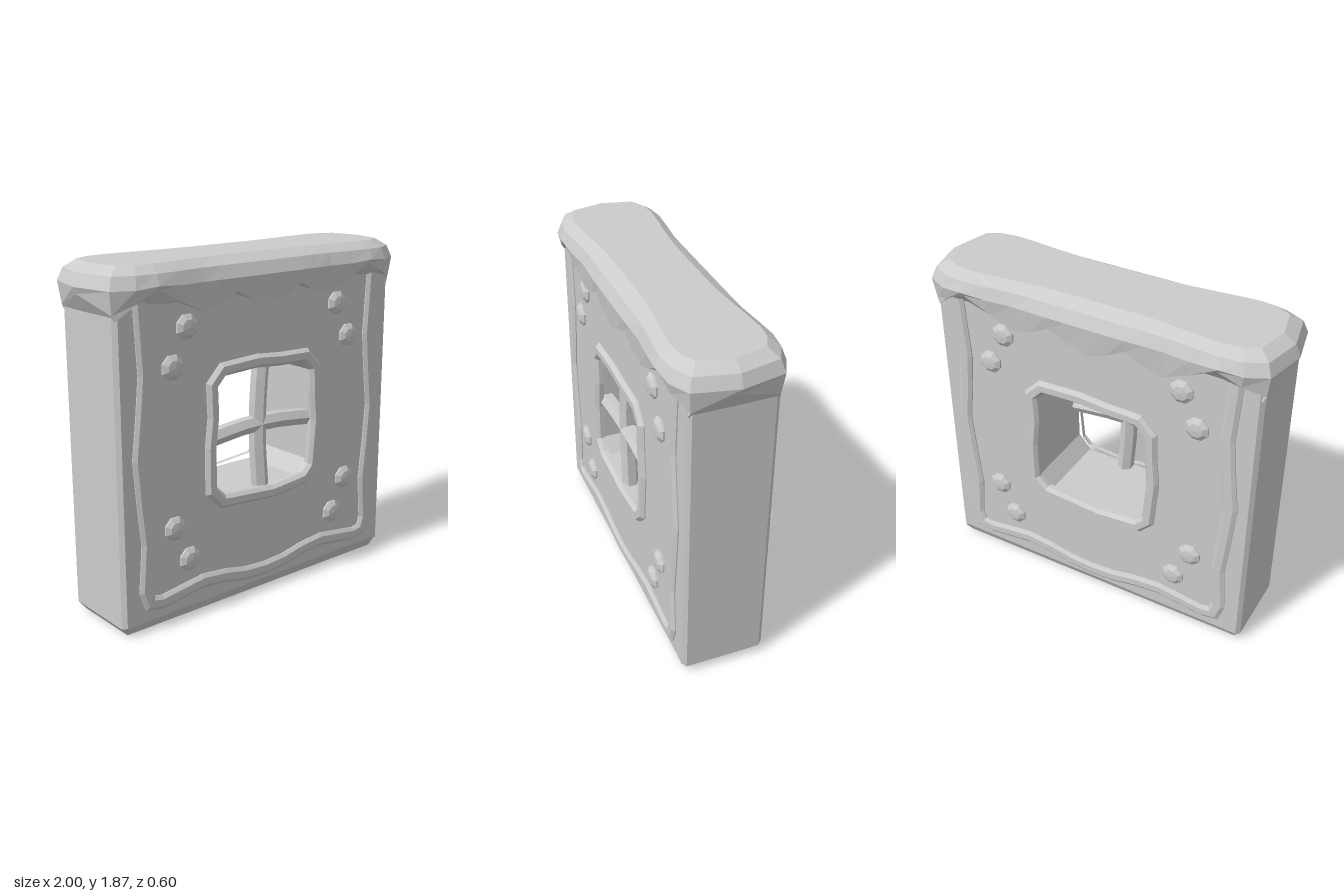
import * as THREE from 'three';

const mat = new THREE.MeshStandardMaterial({ color: 0xcccccc, flatShading: true });
const FACE = 0.23; // z of the wall's front face

function mesh(name, geometry) {
  const m = new THREE.Mesh(geometry, mat);
  m.name = name;
  return m;
}

function gridGeometry(rows, closed, cap) {
  // rows of points joined by quads; closed joins the ends of each row
  const n = rows[0].length, pos = rows.flat(2), idx = [];
  for (let r = 0; r < rows.length - 1; r++) {
    for (let i = 0; i < (closed ? n : n - 1); i++) {
      const j = (i + 1) % n;
      const a = r * n + i, b = r * n + j, c = b + n, d = a + n;
      idx.push(a, b, c, a, c, d);
    }
  }
  if (cap) {
    const last = (rows.length - 1) * n, centre = pos.length / 3;
    pos.push(...cap);
    for (let i = 0; i < n; i++) idx.push(centre, last + i, last + (i + 1) % n);
  }
  const g = new THREE.BufferGeometry();
  g.setAttribute('position', new THREE.Float32BufferAttribute(pos, 3));
  g.setIndex(idx);
  const flat = g.toNonIndexed();
  flat.computeVertexNormals();
  return flat;
}

// Raised moulding: a [sideways, z] profile swept along a flat path with mitred corners
function moulding(path, profile, closed) {
  const n = path.length;
  const at = i => path[closed ? (i + n) % n : Math.min(Math.max(i, 0), n - 1)];
  const normal = (a, b) => new THREE.Vector2(a.y - b.y, b.x - a.x).normalize();
  const miters = path.map((p, i) => {
    const n1 = normal(at(i - 1), p), n2 = normal(p, at(i + 1));
    if (!closed && i === 0) return n2;
    if (!closed && i === n - 1) return n1;
    const m = n1.clone().add(n2).normalize();
    return m.divideScalar(Math.max(m.dot(n1), 0.5));
  });
  const rows = profile.map(([o, z]) => path.map((p, i) => [p.x + miters[i].x * o, p.y + miters[i].y * o, z]));
  return gridGeometry(rows, closed);
}

const vecs = pts => pts.map(([x, y]) => new THREE.Vector2(x, y));

// Wall slab with a chamfered window opening
function wallGeometry() {
  const shape = new THREE.Shape(vecs([[-0.89, 0], [0.89, 0], [0.93, 0.05], [0.93, 1.75], [-0.93, 1.75], [-0.93, 0.05]]));
  shape.holes.push(new THREE.Path(vecs([
    [-0.34, 1.2], [-0.26, 1.285], [0.25, 1.28], [0.335, 1.2],
    [0.34, 0.68], [0.27, 0.595], [-0.27, 0.6], [-0.345, 0.68],
  ])));
  const g = new THREE.ExtrudeGeometry(shape, {
    depth: 0.414, bevelThickness: 0.023, bevelSize: 0.02, bevelOffset: -0.02, bevelSegments: 1,
  });
  g.translate(0, 0, -0.207);
  // Wider chamfer along the foot
  const p = g.attributes.position;
  for (let i = 0; i < p.count; i++) {
    if (p.getY(i) < 0.01) p.setZ(i, Math.sign(p.getZ(i)) * 0.195);
    else if (p.getY(i) < 0.04) p.setY(i, 0.065);
  }
  g.computeVertexNormals();
  return g;
}

// Thick cap with a scalloped lower edge, built from stacked rings
function capGeometry() {
  // quarter outline: x, z, scallop height, top x, top z
  const quarter = [
    [0, 0.28, 1.605, 0, 0.18], [0.11, 0.28, 1.64, 0.11, 0.18], [0.22, 0.28, 1.695, 0.22, 0.18],
    [0.32, 0.277, 1.645, 0.32, 0.185], [0.43, 0.275, 1.615, 0.43, 0.195], [0.57, 0.288, 1.68, 0.57, 0.21],
    [0.72, 0.3, 1.755, 0.70, 0.22], [0.84, 0.285, 1.70, 0.79, 0.21],
    [0.95, 0.23, 1.65, 0.87, 0.17], [1, 0, 1.73, 0.91, 0],
  ];
  const ring = f => {
    const q = quarter.map(f), e = q.length - 1;
    const back = q.slice(0, e).reverse();
    const flip = (list, sx, sz) => list.map(([x, y, z]) => [x * sx, y, z * sz]);
    return [...q, ...flip(back, 1, -1), ...flip(q.slice(1), -1, -1), ...flip(back.slice(0, -1), -1, 1)];
  };
  const mix = THREE.MathUtils.lerp;
  return gridGeometry([
    ring(([x, z, s]) => [Math.min(x, 0.92), x > 0.9 ? 1.62 : Math.min(s + 0.005, 1.68), Math.min(z, 0.225)]),
    ring(([x, z, s]) => [x * 0.985, s, z * 0.95]),
    ring(([x, z, s]) => [x, Math.max(1.765, s + 0.02), z]),
    ring(([x, z, s, tx, tz]) => [mix(x, tx, 0.3), 1.83, mix(z, tz, 0.3)]),
    ring(([x, z, s, tx, tz]) => [tx, 1.87, tz]),
  ], true, [0, 1.87, 0]);
}

// Border, window frame and studs carried by one face of the wall
function faceTrim(side) {
  const group = new THREE.Group();
  group.name = side + 'Trim';

  const half = [
    [-0.79, 1.7], [-0.782, 1.55], [-0.77, 1.35], [-0.79, 1.14], [-0.815, 0.93], [-0.797, 0.7], [-0.775, 0.48],
    [-0.795, 0.23], [-0.77, 0.155], [-0.70, 0.14], [-0.57, 0.158], [-0.43, 0.177], [-0.28, 0.162], [-0.14, 0.133],
  ];
  const border = vecs([...half, [0, 0.124], ...half.map(([x, y]) => [-x, y]).reverse()]);
  const section = (w, top) => [[-w, FACE - 0.02], [-w, FACE + 0.006], [-w * 0.5, top], [w * 0.5, top], [w, FACE + 0.006], [w, FACE - 0.02]];
  group.add(mesh('wavyBorder', moulding(border, section(0.039, 0.25), false)));

  const frame = vecs([
    [-0.36, 1.23], [-0.29, 1.302], [-0.06, 1.312], [0.1, 1.298], [0.285, 1.293], [0.355, 1.22],
    [0.36, 1.08], [0.375, 0.92], [0.352, 0.65], [0.29, 0.587], [0.05, 0.565], [-0.295, 0.592],
    [-0.37, 0.665], [-0.372, 0.9], [-0.353, 1.06],
  ]);
  group.add(mesh('windowFrame', moulding(frame, section(0.036, 0.256), true)));

  // Studs in pairs at each corner
  const studGeometry = new THREE.LatheGeometry(vecs([[0.066, -0.01], [0.066, 0.01], [0.04, 0.027], [0, 0.031]]), 8);
  studGeometry.rotateY(Math.PI / 8).rotateX(Math.PI / 2);
  for (const sx of [-1, 1]) {
    for (const [x, y] of [[0.515, 1.55], [0.607, 1.36], [0.607, 0.52], [0.515, 0.33]]) {
      const stud = mesh('stud', studGeometry);
      stud.position.set(sx * x, y, FACE);
      group.add(stud);
    }
  }
  return group;
}

export function createModel() {
  const model = new THREE.Group();
  model.name = 'windowWall';
  model.add(mesh('wall', wallGeometry()), mesh('scallopedCap', capGeometry()));

  model.add(faceTrim('front'));
  const back = faceTrim('back');
  back.rotation.y = Math.PI;
  model.add(back);

  // Bent crossbars set just behind the front of the opening
  const bar = (name, pts) => {
    const curve = new THREE.CatmullRomCurve3(pts.map(([x, y]) => new THREE.Vector3(x, y, 0.18)));
    model.add(mesh(name, new THREE.TubeGeometry(curve, 6, 0.047, 6)));
  };
  bar('verticalBar', [[0.015, 1.32], [-0.005, 1.1], [-0.008, 0.85], [0.015, 0.56]]);
  bar('horizontalBar', [[-0.38, 0.925], [-0.12, 0.952], [0.12, 0.95], [0.38, 0.92]]);
  return model;
}
